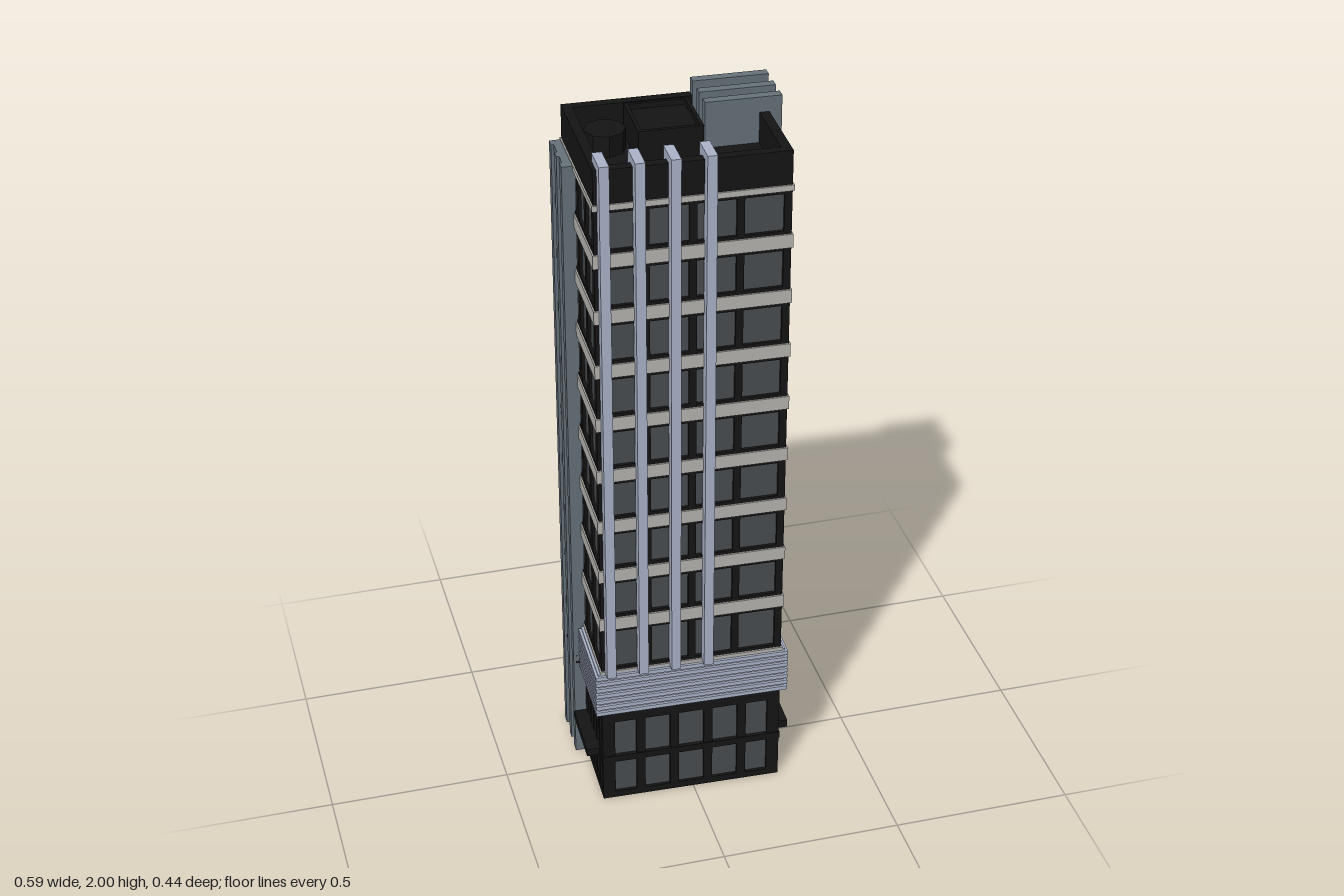
import * as THREE from 'three';

const mat = (color) => new THREE.MeshStandardMaterial({ color, flatShading: true });

export function createModel() {
  const black = mat(0x151515), glass = mat(0x4a4e51), slate = mat(0x67737b);
  const pale = mat(0xadb5cb), stone = mat(0xb9b7b2);
  const model = new THREE.Group();
  model.name = 'officeTower';
  const tower = new THREE.Group();
  tower.name = 'tower';
  tower.rotation.y = -0.033;
  model.add(tower);

  // box given by its min and max on each axis
  const box = (name, material, x0, x1, y0, y1, z0, z1, parent = tower) => {
    const mesh = new THREE.Mesh(new THREE.BoxGeometry(x1 - x0, y1 - y0, z1 - z0), material);
    mesh.position.set((x0 + x1) / 2, (y0 + y1) / 2, (z0 + z1) / 2);
    mesh.name = name;
    parent.add(mesh);
    return mesh;
  };

  const W = 0.253, ZB = -0.21, ZF = 0.183; // body half width, back and front
  const D = 0.008;                          // window recess

  // row of vertical pillars leaving n windows along a face
  const pillarsX = (n, t, y0, y1, z0, z1) => {
    const pitch = (2 * W - t) / n;
    for (let i = 0; i <= n; i++) {
      const x = -W + i * pitch;
      box('pillar', black, x, x + t, y0, y1, z0, z1);
    }
  };
  const pillarsZ = (n, t, y0, y1, zb, zf) => {
    const pitch = (zf - zb - t) / n;
    for (const s of [-1, 1]) for (let i = 0; i <= n; i++) {
      const z = zb + i * pitch, a = s * W, b = s * (W - D);
      box('pillar', black, Math.min(a, b), Math.max(a, b), y0, y1, z, z + t);
    }
  };

  // ground floor: glazed hall in front, solid core behind
  box('hallGlass', glass, -W + D, W - D, 0.01, 0.3, -0.05, ZF - D);
  box('rearCore', black, -W, W, 0, 0.432, ZB, -0.03);
  box('plinth', black, -W, W, 0, 0.02, -0.05, ZF);
  box('hallLintel', black, -W, W, 0.265, 0.432, -0.05, ZF);
  pillarsX(5, 0.025, 0, 0.3, ZF - D, ZF);
  for (const x of [-W, W - 0.035]) box('cornerPost', black, x, x + 0.035, 0, 0.3, ZF - 0.02, ZF);
  pillarsZ(5, 0.014, 0, 0.3, -0.03, ZF);
  box('hallTransom', black, -W - 0.002, W + 0.002, 0.128, 0.148, -0.04, ZF + 0.003);
  for (const s of [-1, 1]) {
    const x = s * 0.27;
    box('sideCanopy', black, x - 0.02, x + 0.02, 0.126, 0.149, -0.04, 0.141);
  }

  // louvred band over the hall
  box('louvreCore', pale, -0.264, 0.264, 0.3, 0.44, -0.041, 0.188);
  const slats = 7, slatH = 0.14 / slats;
  for (let i = 0; i < slats; i++) {
    const y = 0.3 + i * slatH;
    box('louvreSlat', pale, -0.271, 0.271, y + 0.003, y + slatH - 0.005, -0.041, 0.195);
  }

  // office floors
  const Y0 = 0.445, Y1 = 1.85, floors = 9, step = 0.158;
  box('officeGlass', glass, -W + D, W - D, 0.43, 1.86, ZB + D, ZF - D);
  pillarsX(4, 0.02, Y0, Y1, ZF - D, ZF);
  pillarsX(4, 0.02, Y0, Y1, ZB, ZB + D);
  pillarsZ(4, 0.022, Y0, Y1, ZB, ZF);
  for (let i = 0; i <= floors; i++) {
    const y = 0.445 + i * step - (i === floors ? 0.007 : 0);
    const end = i === 0 || i === floors;
    const h = end ? 0.008 : 0.019;
    const c = i === 0 ? 0.438 : i === floors ? 1.857 : y;
    box('windowRail', black, -W, W, c - h - 0.009, c + h + 0.009, ZB, ZF);
    box('floorBand', stone, -W - 0.004, W + 0.004, c - h, c + h, ZB - 0.003, ZF + 0.005);
  }

  // side fins with ledges between them
  const finZ = [-0.206, -0.136, -0.073], finW = 0.026;
  for (const s of [-1, 1]) {
    const top = s > 0 ? 2 : 1.862;
    const [a, b] = s > 0 ? [W - 0.003, 0.286] : [-0.286, -W + 0.003];
    for (const z of finZ) {
      box('sideFin', slate, a, b, 0, top, z, z + finW);
      // right-hand fins fold over the roof
      if (s > 0) box('finReturn', slate, 0.085, 0.252, 1.87, 2, z, z + finW);
    }
    const [c, d] = s > 0 ? [W - 0.003, 0.279] : [-0.279, -W + 0.003];
    for (let i = 0; i <= floors; i++) {
      const y = i === floors ? 1.85 : 0.445 + i * step;
      box('finLedge', slate, c, d, y - 0.015, y + 0.012, finZ[0], finZ[2] + finW);
    }
    for (const y of [0.315, 0.335]) {
      box('finSlat', black, c, d, y - 0.004, y + 0.004, finZ[0], finZ[2] + finW);
    }
  }

  // front fins hooked over the parapet
  for (const x of [-0.23, -0.14, -0.05, 0.041]) {
    box('frontFin', pale, x - 0.013, x + 0.013, 0.44, 1.98, ZF - 0.003, 0.212);
    box('frontFinCap', pale, x - 0.013, x + 0.013, 1.957, 1.98, 0.127, 0.19);
    box('frontFinReturn', pale, x - 0.013, x + 0.013, 1.87, 1.97, 0.127, 0.157);
  }

  // roof and parapet
  const P = 0.026, PT = 1.958;
  box('roofDeck', black, -W + 0.01, W - 0.01, 1.85, 1.872, ZB + 0.01, ZF - 0.01);
  box('parapetFront', black, -W, W, 1.865, PT, ZF - P, ZF);
  box('parapetBack', black, -W, W, 1.865, PT, ZB, ZB + P);
  for (const x of [-W, W - P]) box('parapetSide', black, x, x + P, 1.865, PT, ZB + P, ZF - P);

  // roof plant room with a raised rim, and a water tank
  const [rx0, rx1, rz0, rz1, rt] = [-0.097, 0.072, -0.175, -0.002, 0.01];
  box('plantRoom', black, rx0 + rt, rx1 - rt, 1.87, 1.945, rz0 + rt, rz1 - rt);
  for (const x of [rx0, rx1 - rt]) box('plantRoomRim', black, x, x + rt, 1.87, 1.96, rz0, rz1);
  for (const z of [rz0, rz1 - rt]) box('plantRoomRim', black, rx0 + rt, rx1 - rt, 1.87, 1.96, z, z + rt);
  const tank = new THREE.Mesh(new THREE.CylinderGeometry(0.055, 0.055, 0.06, 8), black);
  tank.name = 'waterTank';
  tank.position.set(-0.161, 1.9, -0.105);
  tower.add(tank);

  return model;
}
